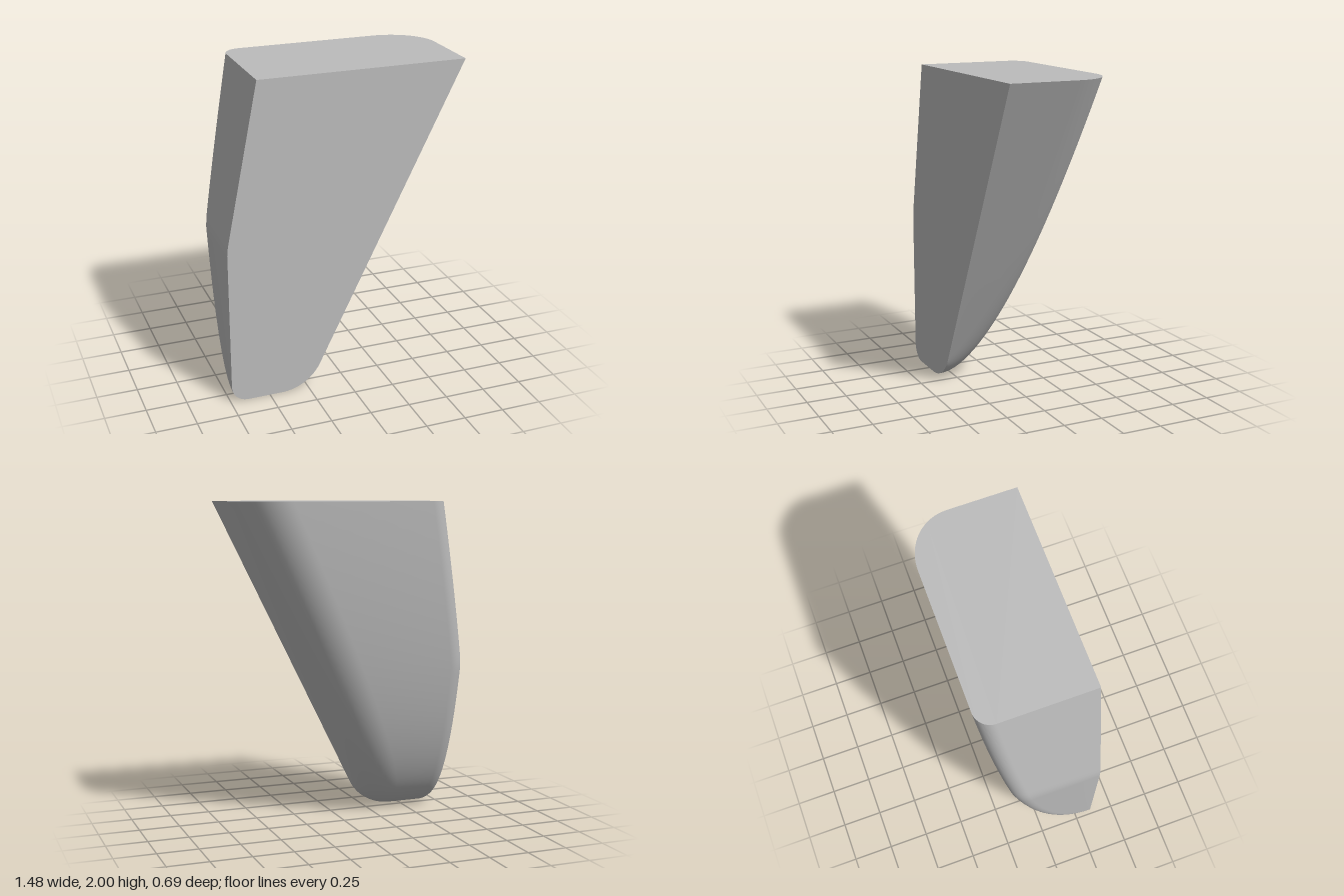
import * as THREE from 'three';
import { toCreasedNormals } from 'three/addons/utils/BufferGeometryUtils.js';

const FRONT = 0.345, TOP = 2, ROWS = 72, ARC = 16;
const V = (x, y, z) => new THREE.Vector3(x, y, z);

// Curved back seen from the side, and its outward normal
const profile = t => V(0, 2 * t * t, FRONT - (t - 0.31 * t * t));
const profileNormal = t => V(0, -(1 - 0.62 * t), -4 * t).normalize();

// A side wall through (x, y) with outward normal (nx, ny)
const wall = (x, y, nx, ny) => {
  const n = V(nx, ny, 0).normalize();
  return { n, c: n.x * x + n.y * y };
};
const leftSide = { r: 0.1, walls: [wall(-0.74, 1, -1, 0), wall(-0.74, 1, -1, 0.2)] };
const rightSide = { r: 0.28, walls: [wall(0.735, 2, 2, -0.985)] };

// Point on the rounded edge between back (s = 0) and side wall (s = 1)
function edgePoint(side, t, s) {
  const np = profileNormal(t), p = profile(t).addScaledVector(np, -side.r);
  let best = null;
  for (const w of side.walls) {
    const x = (w.c - side.r - w.n.y * p.y) / w.n.x;
    if (!best || x > best.x) best = { x, n: w.n };
  }
  p.x = best.x;
  const a = np.angleTo(best.n);
  p.addScaledVector(np, side.r * Math.sin((1 - s) * a) / Math.sin(a));
  p.addScaledVector(best.n, side.r * Math.sin(s * a) / Math.sin(a));
  p.z = Math.min(p.z, FRONT);
  return p;
}

// One lengthwise line of the skin, ending exactly at the top plane
function column(side, s) {
  let lo = 0.8, hi = 1.3;
  for (let k = 0; k < 40; k++) {
    const mid = (lo + hi) / 2;
    if (edgePoint(side, mid, s).y < TOP) lo = mid; else hi = mid;
  }
  return Array.from({ length: ROWS + 1 }, (_, i) => edgePoint(side, lo * i / ROWS, s));
}

export function createModel() {
  const group = new THREE.Group();
  const grey = new THREE.MeshStandardMaterial({ color: 0xbcbcbc });
  grey.name = 'plain grey';
  const add = (name, geometry) => {
    const mesh = new THREE.Mesh(geometry, grey);
    mesh.name = name;
    group.add(mesh);
  };

  // Columns run from the left wall's front edge around the back to the right wall's
  const columns = [];
  for (let k = ARC; k >= 0; k--) columns.push(column(leftSide, k / ARC));
  for (let k = 0; k <= ARC; k++) columns.push(column(rightSide, k / ARC));
  const toFront = col => col.map(p => V(p.x, p.y, FRONT));
  columns.unshift(toFront(columns[0]));
  columns.push(toFront(columns[columns.length - 1]));

  // Curved back, rounded edges and side walls
  const position = [], index = [], stride = ROWS + 1;
  columns.forEach(col => col.forEach(p => position.push(p.x, p.y, p.z)));
  for (let j = 0; j < columns.length - 1; j++) {
    for (let i = 0; i < ROWS; i++) {
      const a = j * stride + i, b = a + stride;
      index.push(a, a + 1, b + 1, a, b + 1, b);
    }
  }
  const skin = new THREE.BufferGeometry();
  skin.setAttribute('position', new THREE.Float32BufferAttribute(position, 3));
  skin.setIndex(index);
  add('curvedBackAndSides', toCreasedNormals(skin, 0.16));

  // Flat front face
  const first = columns[0], last = columns[columns.length - 1];
  const outline = [...columns.map(c => c[0]), ...last.slice(1), ...first.slice(1).reverse()];
  const frontShape = new THREE.Shape(outline.map(p => new THREE.Vector2(p.x, p.y)));
  add('frontFace', new THREE.ShapeGeometry(frontShape).translate(0, 0, FRONT));

  // Flat top face
  const rim = columns.map(c => new THREE.Vector2(c[ROWS].x, -c[ROWS].z));
  add('topFace', new THREE.ShapeGeometry(new THREE.Shape(rim)).rotateX(-Math.PI / 2).translate(0, TOP, 0));

  return group;
}
